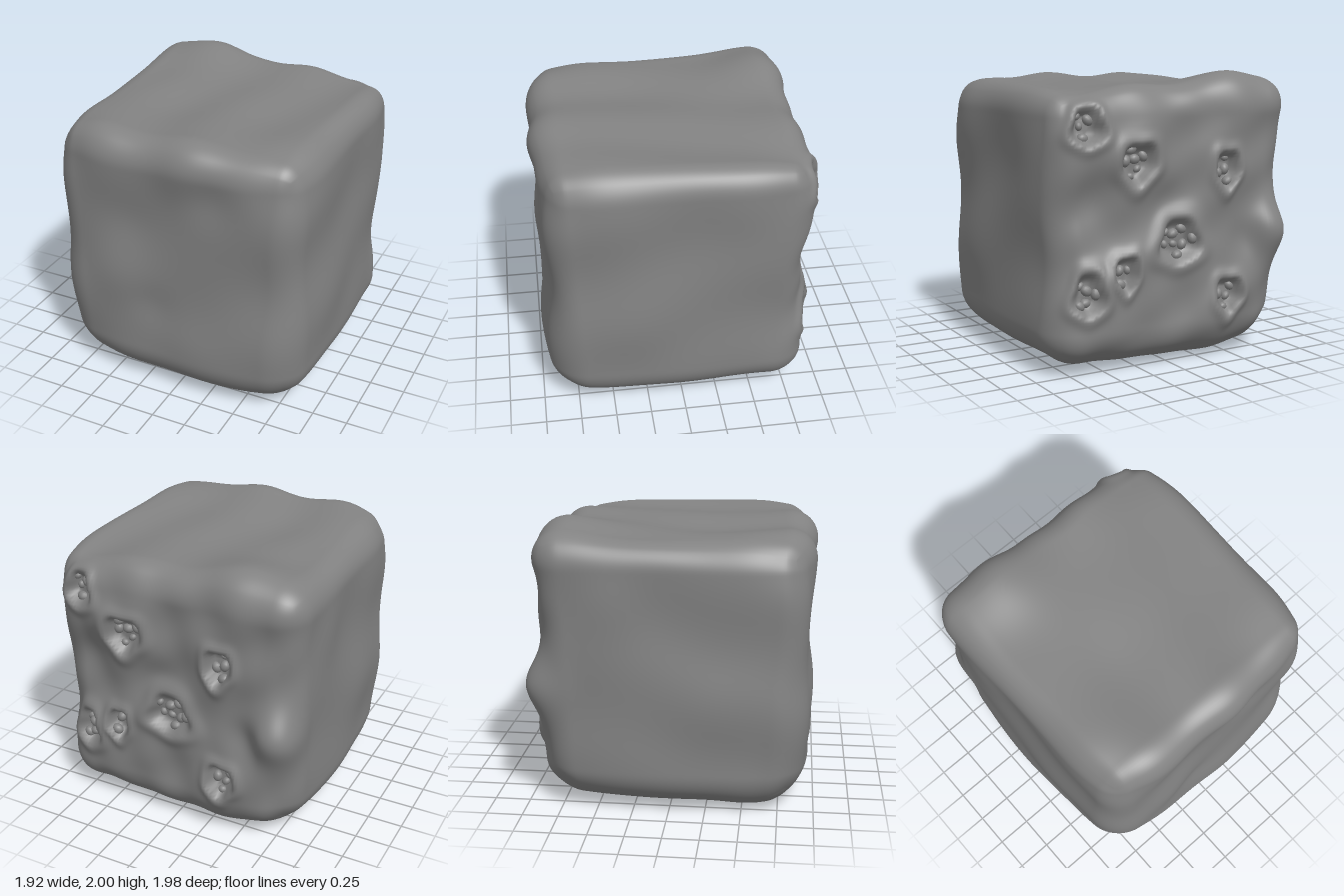
import * as THREE from 'three';
import { mergeVertices } from 'three/addons/utils/BufferGeometryUtils.js';

const HALF = new THREE.Vector3(0.925, 0.935, 0.92);
const CENTRE = new THREE.Vector3(0, 0.975, 0.025);

// Broad swellings and dents: x, y, z, radius, height
const LUMPS = [
  // top and base
  [-0.58, 1.93, -0.73, 0.3, 0.07], [0, 0.04, -0.05, 0.25, 0.03], [-0.72, 0.05, 0.6, 0.25, 0.03],
  // sides
  [-0.93, 1.5, -0.4, 0.25, 0.03], [-0.93, 0.75, 0.3, 0.28, 0.01],
  [0.93, 1.6, -0.4, 0.25, 0.02], [0.93, 0.6, 0.4, 0.3, 0.02],
  // worn corners and edges
  [0.9, 0.15, 0.9, 0.3, -0.05], [0.88, 1.78, 0.9, 0.25, -0.07], [0.82, 0.95, 0.95, 0.35, -0.05],
  [-0.85, 0.12, 0.9, 0.35, -0.08], [-0.88, 1.82, 0.9, 0.25, -0.07], [-0.88, 0.12, -0.88, 0.3, -0.07],
  [0.82, 1.82, -0.9, 0.28, -0.08], [-0.85, 0.95, 0.93, 0.25, -0.03],
  // front
  [0.3, 1.62, 0.95, 0.2, -0.04], [0.15, 1.78, 0.95, 0.24, 0.05], [-0.5, 1.7, 0.95, 0.3, 0.035],
  [-0.3, 1.3, 0.95, 0.2, -0.015], [-0.4, 0.87, 0.95, 0.23, 0.02], [-0.15, 0.68, 0.95, 0.16, -0.015],
  [0.15, 0.38, 0.95, 0.25, 0.025],
  // back
  [-0.78, 0.87, -0.9, 0.18, 0.115], [-0.55, 0.85, -0.88, 0.14, -0.05], [0.72, 1.15, -0.9, 0.22, -0.05],
  [0.75, 0.65, -0.9, 0.35, -0.06], [0.05, 1.13, -0.9, 0.15, -0.035],
];

// Pits in the back face: x, y, half width, half height
const PITS = [
  [0.69, 1.67, 0.1, 0.12], [0.33, 1.42, 0.13, 0.13], [-0.38, 1.34, 0.09, 0.12], [0, 0.87, 0.15, 0.15],
  [0.41, 0.69, 0.08, 0.11], [0.68, 0.57, 0.1, 0.14], [-0.4, 0.46, 0.1, 0.12],
];

const wave = (a, b, s) => Math.sin(a * 3.1 + Math.sin(b * 2.7 + s) * 1.3 + s) * Math.sin(b * 3.7 + s * 2.3);

// A pit with an uneven outline and raised rim, sunk in a soft mound
function pitRelief(p, [x, y, w, h]) {
  const dx = p.x - x, dy = p.y - y;
  const angle = Math.atan2(dy / h, dx / w);
  const q = Math.hypot(dx / w, dy / h) * (1 + 0.08 * Math.sin(angle * 3 + x * 9) + 0.05 * Math.sin(angle * 5));
  const mound = 0.055 * Math.exp(-(dx * dx + dy * dy) / 0.058);
  const rim = 0.02 * Math.exp(-(((q - 1.3) / 0.35) ** 2));
  return mound + rim - 0.085 * (1 - THREE.MathUtils.smoothstep(q, 0.55, 1.15));
}

// Displacement along the outward direction n at point p
function relief(p, n) {
  let d = 0.012 * (wave(p.x, p.y, 1) + wave(p.y, p.z, 2) + wave(p.z, p.x, 4));
  // long soft grooves on the top and sides
  d += 0.012 * Math.max(0, n.y) * Math.sin(p.x * 9 + Math.sin(p.z * 2.5));
  d += 0.01 * Math.abs(n.x) * Math.sin(p.y * 8 + Math.sin(p.z * 3));
  for (const [x, y, z, r, h] of LUMPS) {
    d += h * Math.exp(-((p.x - x) ** 2 + (p.y - y) ** 2 + (p.z - z) ** 2) / (r * r));
  }
  // weathered back
  const back = Math.max(0, -n.z);
  if (back > 0) {
    d += back * 0.012 * Math.sin(p.x * 13 + p.y * 5) * Math.sin(p.y * 11 - p.x * 4);
    for (const pit of PITS) d += back * pitRelief(p, pit);
  }
  return d;
}

// Point on the lumpy rounded block for a point on the plain box; edges are rounder towards the base
function surfacePoint(v) {
  const edge = 0.23 - 0.05 * v.y / HALF.y;
  const core = v.clone();
  for (const k of ['x', 'y', 'z']) core[k] = THREE.MathUtils.clamp(v[k], edge - HALF[k], HALF[k] - edge);
  const n = v.clone().sub(core).normalize();
  const p = core.addScaledVector(n, edge).add(CENTRE);
  return p.addScaledVector(n, relief(p, n));
}

function stoneGeometry() {
  let g = new THREE.BoxGeometry(HALF.x * 2, HALF.y * 2, HALF.z * 2, 84, 84, 84);
  g.deleteAttribute('normal');
  g.deleteAttribute('uv');
  g = mergeVertices(g, 1e-4);
  const pos = g.attributes.position;
  const v = new THREE.Vector3();
  for (let i = 0; i < pos.count; i++) {
    const p = surfacePoint(v.fromBufferAttribute(pos, i));
    pos.setXYZ(i, p.x, p.y, p.z);
  }
  g.computeVertexNormals();
  return g;
}

export function createModel() {
  const model = new THREE.Group();
  model.name = 'stoneBlock';
  const material = new THREE.MeshStandardMaterial({ color: 0x828282 });

  // Main block
  const block = new THREE.Mesh(stoneGeometry(), material);
  block.name = 'block';
  model.add(block);

  // Pebbles lodged in each pit, laid out in a spiral
  const pebbleGeometry = new THREE.SphereGeometry(1, 12, 8);
  PITS.forEach(([x, y, w, h], i) => {
    const cluster = new THREE.Group();
    cluster.name = 'pebbleCluster' + (i + 1);
    const count = Math.round(w * h * 350);
    for (let k = 0; k < count; k++) {
      const a = k * 2.4 + i * 1.7;
      const r = 0.85 * Math.sqrt((k + 0.3) / count);
      const px = x + Math.cos(a) * r * w, py = y + Math.sin(a) * r * h;
      const seat = surfacePoint(new THREE.Vector3(px - CENTRE.x, py - CENTRE.y, -HALF.z));
      const size = 0.024 + 0.012 * Math.abs(Math.sin(k * 2.1 + i));
      const pebble = new THREE.Mesh(pebbleGeometry, material);
      pebble.name = 'pebble';
      pebble.position.set(seat.x, seat.y, seat.z);
      pebble.scale.set(size, size * 1.2, size);
      pebble.rotation.z = a;
      cluster.add(pebble);
    }
    model.add(cluster);
  });
  return model;
}
